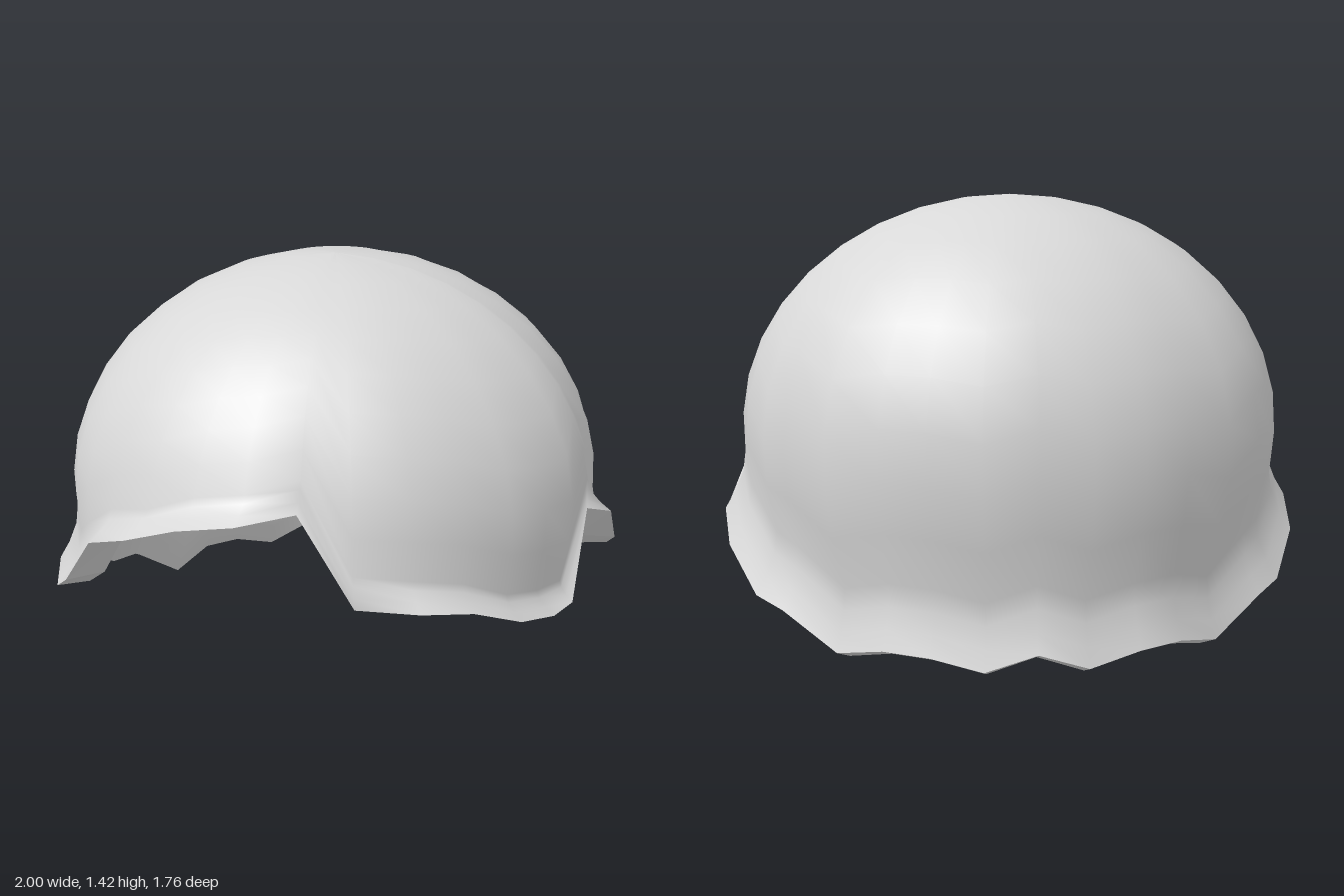
import * as THREE from 'three';

const CENTER_Z = -0.04, EQUATOR = 0.65;
const { lerp, smoothstep } = THREE.MathUtils;

// lower edge of the hair: [x, y, z], running from the fringe to +x, around the back to -x
const fringeLeft = [
  [-0.10, 0.57, 0.87], [0.10, 0.54, 0.88], [0.28, 0.50, 0.83], [0.46, 0.41, 0.75],
  [0.60, 0.37, 0.66], [0.71, 0.34, 0.53], [0.79, 0.62, 0.395], [0.87, 0.61, 0.41],
];
const side = [
  [0.96, 0.43, 0.25], [1.00, 0.33, 0.09], [0.99, 0.36, -0.07], [0.96, 0.28, -0.25],
  [0.86, 0.16, -0.43], [0.77, 0.14, -0.53], [0.60, 0.03, -0.63], [0.46, 0.075, -0.75],
  [0.32, 0.07, -0.81], [0.16, 0.03, -0.84],
];
const fringeRight = [
  [-0.87, 0.64, 0.42], [-0.76, 0.71, 0.57], [-0.61, 0.78, 0.68], [-0.44, 0.81, 0.75], [-0.26, 0.86, 0.80],
];
const mirrored = side.map(([x, y, z]) => [-x, y, z]).reverse();
const edge = [...fringeLeft, ...side, [0, 0.09, -0.87], ...mirrored, ...fringeRight]
  .map((p) => new THREE.Vector3(...p));

// matching inner edge: thick at the fringe, thin and slightly lower at the nape
const innerEdge = edge.map((p) => {
  const thickness = 0.055 + 0.08 * smoothstep(p.z, -0.3, 0.3);
  const k = 1 - thickness / Math.hypot(p.x, p.z - CENTER_Z);
  return new THREE.Vector3(p.x * k, p.y - (p.z < -0.6 ? 0.025 : 0), CENTER_Z + (p.z - CENTER_Z) * k);
});

// one strand from crown to edge: ellipsoid dome, tucked in below the equator, then a flared lip
function strand(end, inset, lip, rows) {
  const rx = 0.92 - inset, rz = 0.84 - inset, h = 0.78 - inset;
  const angle = Math.atan2(end.x / rx, (end.z - CENTER_Z) / rz);
  const dome = (a) => {
    const below = Math.max(0, a - Math.PI / 2) * 0.8;
    const s = below > 0 ? 1 - 0.48 * below * below : Math.sin(a);
    const y = below > 0 ? EQUATOR - below : EQUATOR + h * Math.cos(a);
    return new THREE.Vector3(rx * s * Math.sin(angle), y, CENTER_Z + rz * s * Math.cos(angle));
  };
  // the lip turns out sharply at the fringe and gently elsewhere
  const yLip = end.y + lerp(lip, 0.07, smoothstep(end.z, 0.2, 0.5));
  const last = yLip > EQUATOR
    ? Math.acos(Math.min(1, (yLip - EQUATOR) / h))
    : Math.PI / 2 + (EQUATOR - yLip) / 0.8;
  const points = [];
  for (let i = 0; i <= rows; i++) points.push(dome((last * i) / rows));
  const start = points[rows];
  for (const [drop, out] of [[0.35, 0.13], [0.7, 0.52], [1, 1]]) {
    points.push(new THREE.Vector3(
      lerp(start.x, end.x, out), lerp(start.y, end.y, drop), lerp(start.z, end.z, out)));
  }
  return points;
}

// closed ring of columns joined into a surface
function loft(columns, flip) {
  const n = columns.length, rows = columns[0].length, index = [];
  for (let c = 0; c < n; c++) {
    for (let r = 0; r < rows - 1; r++) {
      const a = c * rows + r, b = ((c + 1) % n) * rows + r;
      if (flip) index.push(a, b + 1, a + 1, a, b, b + 1);
      else index.push(a, a + 1, b + 1, a, b + 1, b);
    }
  }
  const geometry = new THREE.BufferGeometry().setFromPoints(columns.flat());
  geometry.setIndex(index);
  geometry.computeVertexNormals();
  return geometry;
}

export function createModel() {
  const group = new THREE.Group();
  group.name = 'hair';
  const material = new THREE.MeshStandardMaterial({ color: 0xd8d8d8 });
  material.name = 'light grey';

  const add = (name, geometry) => {
    const mesh = new THREE.Mesh(geometry, material);
    mesh.name = name;
    group.add(mesh);
  };

  add('outerHair', loft(edge.map((p) => strand(p, 0, 0.2, 10)), false));
  add('innerHair', loft(innerEdge.map((p) => strand(p, 0.13, 0.32, 10)), true));

  // flat band closing the thickness along the lower edge
  const rim = loft(edge.map((p, i) => [p, innerEdge[i]]), false).toNonIndexed();
  rim.computeVertexNormals();
  add('hairEdge', rim);
  return group;
}
